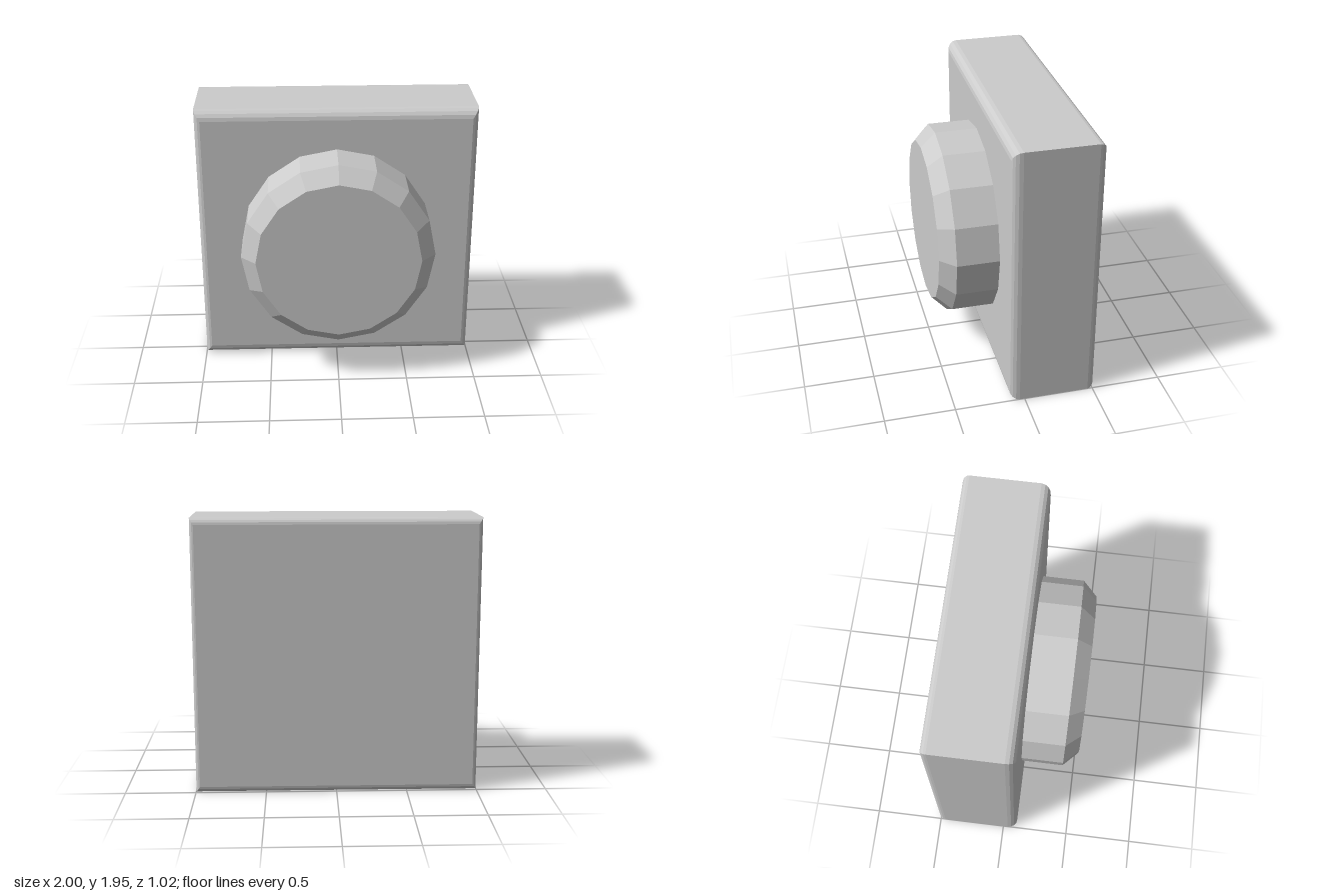
import * as THREE from 'three';

const material = new THREE.MeshStandardMaterial({ color: 0xcccccc, flatShading: true });

const HALF_W = 1, HALF_H = 0.9725, BACK = -0.51, FRONT = 0.105;

// Block with square outer corners and rounded front and back rims,
// lofted through rectangles along z.
function blockGeometry() {
  const steps = 4;
  const sections = [];
  const addRim = (z, dir, depth, insetX, insetY) => {
    const rim = [];
    for (let i = 0; i <= steps; i++) {
      const a = (i / steps) * Math.PI / 2;
      const inset = 1 - Math.sin(a);
      rim.push([HALF_W - insetX * inset, HALF_H - insetY * inset, z + dir * depth * (1 - Math.cos(a))]);
    }
    if (dir < 0) rim.reverse();
    sections.push(...rim);
  };
  addRim(BACK, 1, 0.045, 0.03, 0.045);
  addRim(FRONT, -1, 0.07, 0.045, 0.07);

  const corners = [[1, -1], [1, 1], [-1, 1], [-1, -1]];
  const positions = [], indices = [];
  for (const [w, h, z] of sections)
    for (const [sx, sy] of corners) positions.push(sx * w, sy * h, z);

  const quad = (a, b, c, d) => indices.push(a, b, c, a, c, d);
  const last = (sections.length - 1) * 4;
  for (let s = 0; s < last; s += 4)
    for (let i = 0; i < 4; i++) {
      const j = (i + 1) % 4;
      quad(s + i, s + j, s + 4 + j, s + 4 + i);
    }
  quad(3, 2, 1, 0);                            // back face
  quad(last, last + 1, last + 2, last + 3);    // front face

  const indexed = new THREE.BufferGeometry();
  indexed.setAttribute('position', new THREE.Float32BufferAttribute(positions, 3));
  indexed.setIndex(indices);
  const geometry = indexed.toNonIndexed();
  geometry.computeVertexNormals();
  return geometry;
}

// Sixteen-sided button with a chamfered front edge.
function buttonGeometry() {
  const profile = [[0, 0.1], [0.688, 0.1], [0.688, 0.405], [0.583, 0.51], [0, 0.51]]
    .map(([r, z]) => new THREE.Vector2(r, z));
  const geometry = new THREE.LatheGeometry(profile, 16).rotateX(Math.PI / 2).toNonIndexed();
  geometry.computeVertexNormals();
  return geometry;
}

export function createModel() {
  const model = new THREE.Group();
  model.name = 'pushButton';
  for (const [name, geometry] of [['baseBlock', blockGeometry()], ['button', buttonGeometry()]]) {
    const mesh = new THREE.Mesh(geometry, material);
    mesh.name = name;
    mesh.position.y = HALF_H;
    model.add(mesh);
  }
  return model;
}
